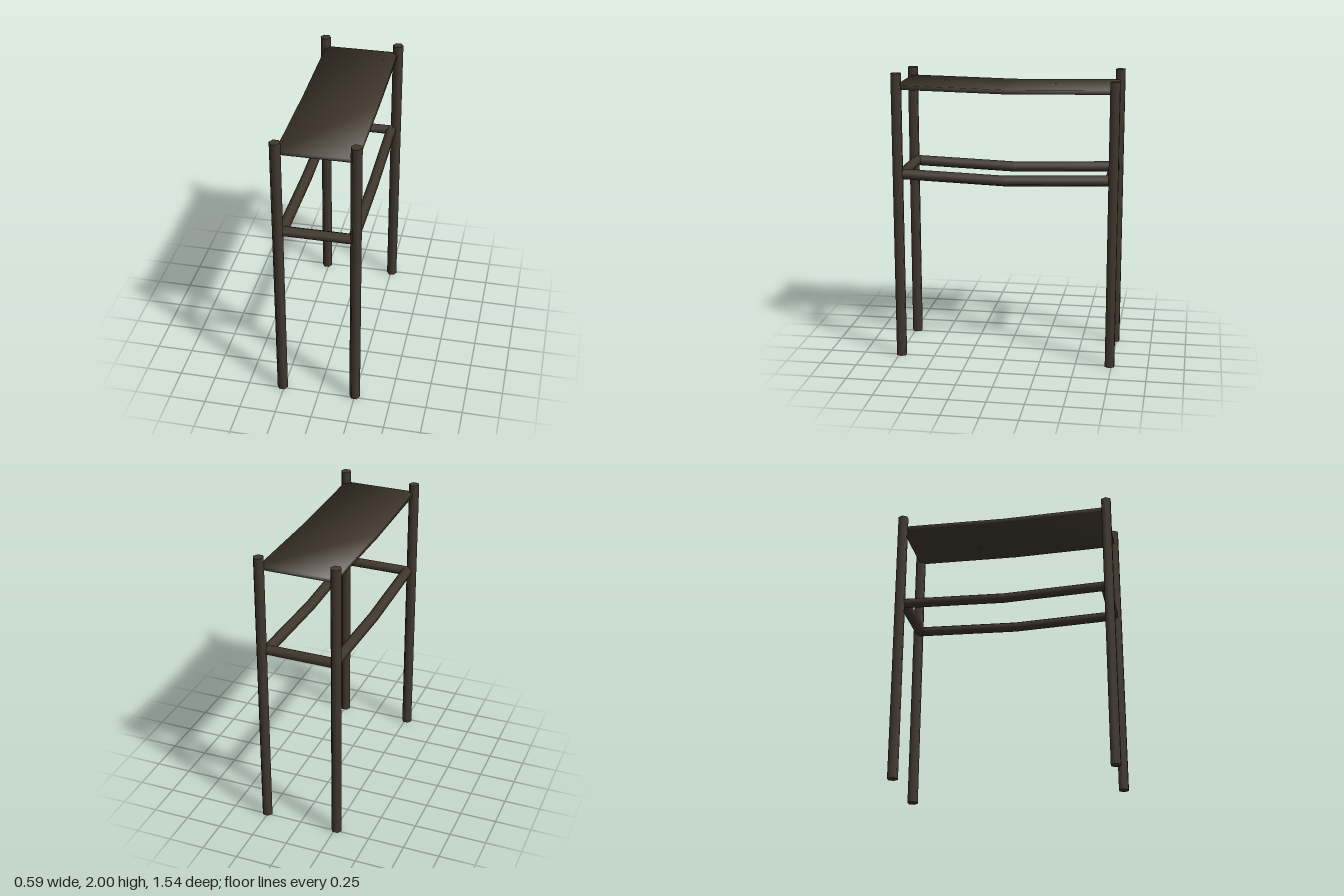
import * as THREE from 'three';

const R = 0.037;

// Six-sided pole standing on y, corners pointing along x
function pole(length, segments = 1) {
  return new THREE.CylinderGeometry(R, R, length, 6, segments, false, Math.PI / 2);
}

// Lower the middle of a part that runs along z, folding it at z = 0
function sag(geometry, halfLength, depth) {
  const p = geometry.attributes.position;
  for (let i = 0; i < p.count; i++) {
    p.setY(i, p.getY(i) - depth * (1 - Math.min(1, Math.abs(p.getZ(i)) / halfLength)));
  }
  return geometry;
}

export function createModel() {
  const group = new THREE.Group();
  const wood = new THREE.MeshStandardMaterial({ color: 0x42392f });
  wood.name = 'darkWood';

  const add = (name, geometry, x, y, z) => {
    const mesh = new THREE.Mesh(geometry, wood);
    mesh.name = name;
    mesh.position.set(x, y, z);
    group.add(mesh);
  };

  // Legs, cut to slightly uneven heights
  const legs = [
    ['frontLeftLeg', 0.25, 0.733, 2.0],
    ['backLeftLeg', 0.257, -0.738, 1.975],
    ['frontRightLeg', -0.262, 0.735, 1.975],
    ['backRightLeg', -0.262, -0.738, 1.99],
  ];
  for (const [name, x, z, h] of legs) add(name, pole(h), x, h / 2, z);

  // Long side rails, sagging at the middle
  for (const [name, x] of [['leftRail', 0.227], ['rightRail', -0.238]]) {
    const rail = pole(1.44, 2).rotateY(Math.PI / 2).rotateX(Math.PI / 2);
    add(name, sag(rail, 0.72, 0.025), x, 1.305, 0);
  }

  // Short end rails
  for (const [name, z] of [['frontRail', 0.71], ['backRail', -0.713]]) {
    add(name, pole(0.49).rotateZ(Math.PI / 2), -0.005, 1.305, z);
  }

  // Thin top sheet, folded at the middle, with softened edge normals
  const sheet = new THREE.BoxGeometry(0.515, 0.03, 1.475, 1, 1, 2);
  const p = sheet.attributes.position;
  const n = new THREE.Vector3();
  for (let i = 0; i < p.count; i++) {
    n.set(Math.sign(p.getX(i)), Math.sign(p.getY(i)), Math.abs(p.getZ(i)) < 0.01 ? 0 : Math.sign(p.getZ(i)));
    n.normalize();
    sheet.attributes.normal.setXYZ(i, n.x, n.y, n.z);
  }
  add('topSheet', sag(sheet, 0.7375, 0.014), -0.002, 1.904, -0.002);

  return group;
}
